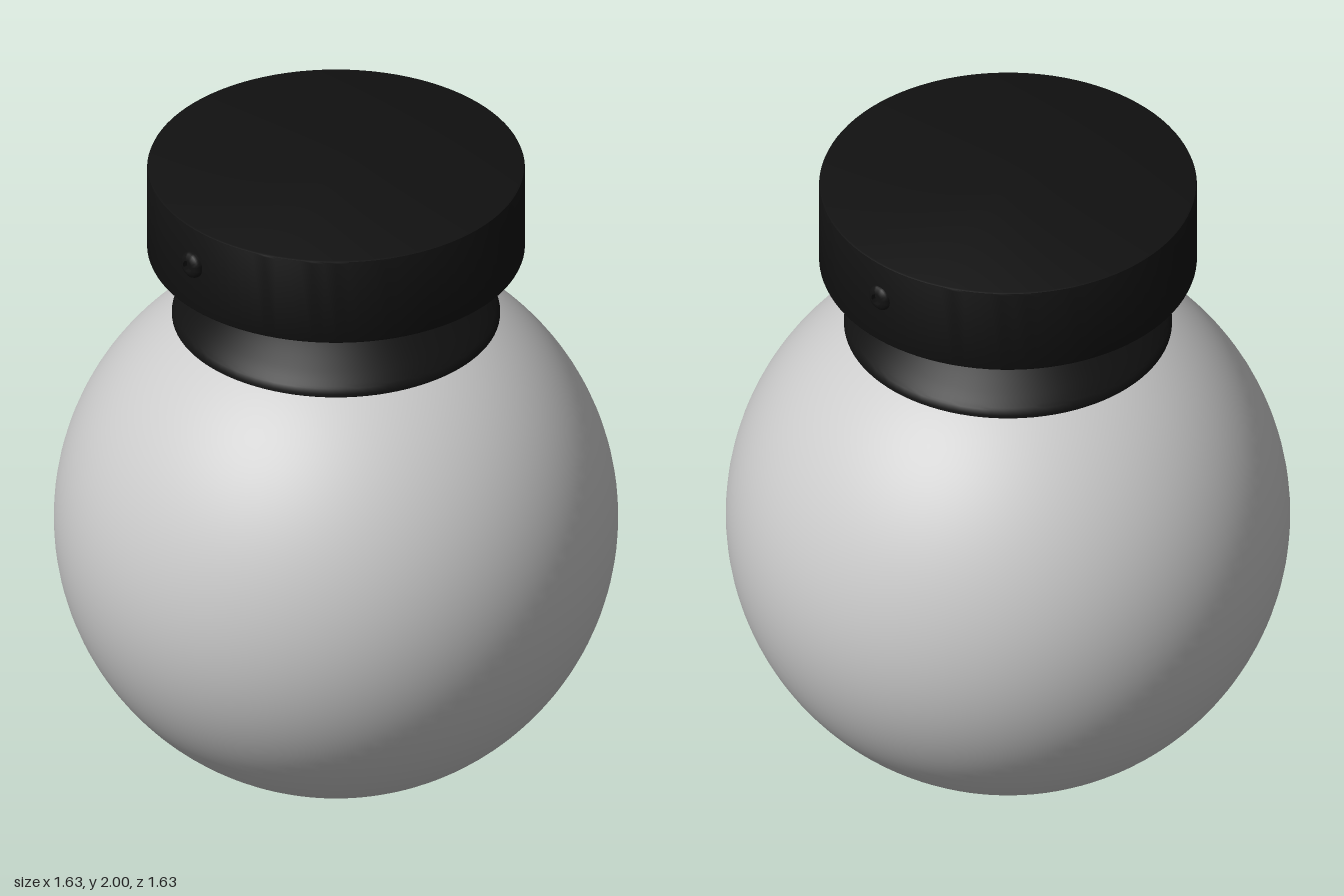
import * as THREE from 'three';
import { toCreasedNormals } from 'three/addons/utils/BufferGeometryUtils.js';

const black = new THREE.MeshStandardMaterial({ color: 0x111111 });
const glass = new THREE.MeshStandardMaterial({ color: 0xcccccc });

// Revolved part from [radius, height] points listed bottom to top
function lathe(name, points, material, segments = 96) {
  const profile = points.map(([r, y]) => new THREE.Vector2(r, y));
  const geometry = toCreasedNormals(new THREE.LatheGeometry(profile, segments), 0.6);
  const mesh = new THREE.Mesh(geometry, material);
  mesh.name = name;
  return mesh;
}

export function createModel() {
  const model = new THREE.Group();
  model.name = 'globeCeilingLamp';

  // Round glass shade
  const globe = new THREE.Mesh(new THREE.SphereGeometry(0.817, 96, 64), glass);
  globe.name = 'globeShade';
  globe.position.y = 0.817;
  model.add(globe);

  // Domed cap holding the shade
  const dome = new THREE.SplineCurve([
    [0.467, 1.525], [0.43, 1.56], [0.35, 1.62], [0.25, 1.678], [0.14, 1.725], [0.08, 1.742],
  ].map(([r, y]) => new THREE.Vector2(r, y))).getPoints(24).map((p) => [p.x, p.y]);
  model.add(lathe('shadeCap', [
    [0.42, 1.497], [0.468, 1.497], [0.475, 1.502], [0.475, 1.511], ...dome, [0, 1.745],
  ], black));

  // Ceiling canopy with softly bevelled rims
  model.add(lathe('ceilingCanopy', [
    [0, 1.725], [0.54, 1.725], [0.545, 1.727], [0.547, 1.732],
    [0.547, 1.993], [0.545, 1.998], [0.54, 2], [0, 2],
  ], black));

  // Side screws with a recessed socket in the rounded head
  for (const side of [1, -1]) {
    const screw = lathe('canopyScrew', [
      [0, 0], [0.04, 0], [0.04, 0.03], [0.037, 0.038], [0.03, 0.044],
      [0.02, 0.047], [0.018, 0.047], [0.018, 0.032], [0, 0.032],
    ], black, 32);
    screw.rotation.z = -side * Math.PI / 2;
    screw.position.set(side * (side > 0 ? 0.514 : 0.522), 1.88, -0.005);
    model.add(screw);
  }

  return model;
}
